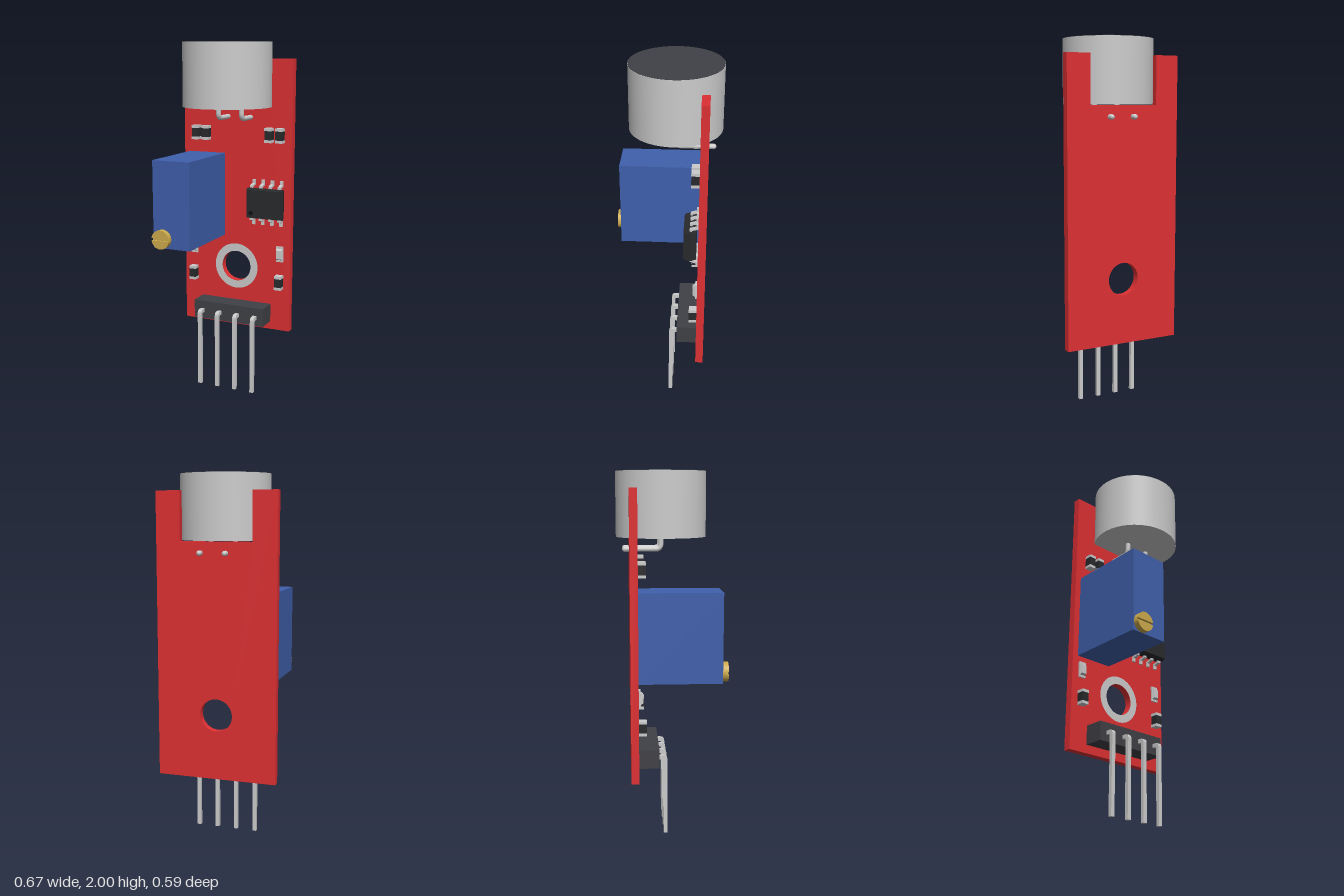
import * as THREE from 'three';

const mat = (color) => new THREE.MeshStandardMaterial({ color });
const grey = mat(0xcccccc), red = mat(0xdd3033), blue = mat(0x4060ac);
const gold = mat(0xccaa4c), dark = mat(0x404146), black = mat(0x292a2d);
const FRONT = -0.183, BACK = -0.225; // faces of the circuit board

export function createModel() {
  const root = new THREE.Group();

  function add(name, geometry, material, x = 0, y = 0, z = 0, parent = root) {
    const mesh = new THREE.Mesh(geometry, material);
    mesh.name = name;
    mesh.position.set(x, y, z);
    parent.add(mesh);
    return mesh;
  }
  // box given by its extents
  const box = (name, m, x0, x1, y0, y1, z0, z1, parent) =>
    add(name, new THREE.BoxGeometry(x1 - x0, y1 - y0, z1 - z0), m,
      (x0 + x1) / 2, (y0 + y1) / 2, (z0 + z1) / 2, parent);
  // disc or rod whose axis points along z
  const discZ = (r, h, seg = 32) => new THREE.CylinderGeometry(r, r, h, seg).rotateX(Math.PI / 2);
  const polygon = (pts) => new THREE.Shape(pts.map(([x, y]) => new THREE.Vector2(x, y)));
  // outline drawn in (z, y), extruded to a width centred on x = 0
  const sideProfile = (shape, width) =>
    new THREE.ExtrudeGeometry(shape, { depth: width, bevelEnabled: false, curveSegments: 6 })
      .translate(0, 0, -width / 2).rotateY(-Math.PI / 2);

  // board with a notch for the microphone and a mounting hole
  const board = polygon([[-0.335, 0.35], [0.335, 0.35], [0.335, 1.91], [0.2, 1.91],
    [0.2, 1.645], [-0.2, 1.645], [-0.2, 1.91], [-0.335, 1.91]]);
  board.holes.push(new THREE.Path().absarc(0, 0.71, 0.09, 0, Math.PI * 2, true));
  add('board', new THREE.ExtrudeGeometry(board,
    { depth: FRONT - BACK, bevelEnabled: false, curveSegments: 32 }), red, 0, 0, BACK);
  add('holeRing', new THREE.RingGeometry(0.09, 0.135, 48), grey, 0, 0.71, FRONT + 0.002);

  // microphone capsule with dark felt and two bent leads
  const mic = new THREE.Group();
  mic.name = 'microphone';
  root.add(mic);
  add('capsule', new THREE.CylinderGeometry(0.245, 0.245, 0.348, 64), grey, 0, 1.824, -0.05, mic);
  add('felt', new THREE.CylinderGeometry(0.244, 0.244, 0.004, 64), dark, 0, 1.998, -0.05, mic);
  for (const x of [-0.055, 0.085]) {
    const path = new THREE.CurvePath();
    const v = (y, z) => new THREE.Vector3(x, y, z);
    path.add(new THREE.LineCurve3(v(1.66, -0.052), v(1.615, -0.052)));
    path.add(new THREE.QuadraticBezierCurve3(v(1.615, -0.052), v(1.585, -0.052), v(1.585, -0.082)));
    path.add(new THREE.LineCurve3(v(1.585, -0.082), v(1.585, -0.25)));
    add('microphoneLead', new THREE.TubeGeometry(path, 32, 0.014, 12), grey, 0, 0, 0, mic);
    add('leadTip', new THREE.SphereGeometry(0.014, 12, 8), grey, x, 1.585, -0.248, mic);
  }

  // trimmer block with a slotted brass screw
  box('trimmer', blue, -0.3, -0.077, 0.89, 1.375, FRONT, 0.265);
  const screw = new THREE.Group();
  screw.name = 'trimmerScrew';
  screw.position.set(-0.242, 0.944, 0.265);
  root.add(screw);
  add('screwBase', discZ(0.053, 0.018), gold, 0, 0, 0.009, screw);
  for (const s of [1, -1]) {
    const half = new THREE.Shape();
    const a = 0.12;
    half.absarc(0, 0, 0.053, a, Math.PI - a, false);
    const g = new THREE.ExtrudeGeometry(half, { depth: 0.014, bevelEnabled: false, curveSegments: 20 });
    if (s < 0) g.rotateZ(Math.PI);
    add('screwHalf', g, gold, 0, 0, 0.018, screw);
  }

  // chip: a body tapering to front and back, gull-wing legs and a pin-one mark
  const chip = new THREE.Group();
  chip.name = 'chip';
  chip.position.set(0.195, 1.104, FRONT);
  root.add(chip);
  const body = new THREE.BoxGeometry(0.216, 0.176, 0.068, 1, 1, 2);
  const p = body.attributes.position;
  for (let i = 0; i < p.count; i++) {
    if (Math.abs(p.getZ(i)) > 0.01) p.setXY(i, p.getX(i) * 0.93, p.getY(i) * 0.91);
  }
  const chipBody = body.toNonIndexed();
  chipBody.computeVertexNormals();
  add('chipBody', chipBody, black, 0, 0, 0.044, chip);
  add('pinOneMark', discZ(0.013, 0.002, 20), mat(0x101012), -0.073, -0.052, 0.0785, chip);
  const leg = polygon([[0, 0.131], [0, 0.1], [0.034, 0.092], [0.034, 0.07],
    [0.046, 0.07], [0.046, 0.1], [0.012, 0.11], [0.012, 0.131]]);
  for (let i = 0; i < 4; i++) {
    for (const side of [0, 1]) {
      const g = sideProfile(leg, 0.018);
      if (side) g.rotateZ(Math.PI);
      add('chipLeg', g, grey, -0.084 + i * 0.056, 0, 0, chip);
    }
  }

  // surface-mount resistors with metal ends
  for (const [x, y] of [[-0.248, 1.49], [-0.185, 1.49], [0.205, 1.49], [0.27, 1.49],
    [-0.272, 0.645], [0.275, 0.645]]) {
    box('resistorBody', black, x - 0.02, x + 0.02, y - 0.026, y + 0.026, FRONT, -0.1405);
    for (const s of [-1, 1]) {
      const c = y + s * 0.033;
      box('resistorEnd', grey, x - 0.021, x + 0.021, c - 0.008, c + 0.008, FRONT, -0.14);
    }
  }

  // indicator lamps
  for (const x of [-0.272, 0.273]) {
    box('lampBase', grey, x - 0.021, x + 0.021, 0.765, 0.855, FRONT, -0.172);
    const lens = new THREE.CylinderGeometry(0.02, 0.027, 0.014, 4, 1).rotateY(Math.PI / 4)
      .rotateX(Math.PI / 2).scale(1, 1.75, 1).toNonIndexed();
    lens.computeVertexNormals();
    add('lampLens', lens, grey, x, 0.81, -0.165);
  }

  // header strip with four pins bent downwards
  box('header', dark, -0.222, 0.218, 0.397, 0.503, FRONT, -0.07);
  const pin = new THREE.Shape();
  pin.moveTo(-0.08, 0.457);
  pin.lineTo(-0.08, 0.435);
  pin.lineTo(-0.052, 0.435);
  pin.quadraticCurveTo(-0.045, 0.435, -0.045, 0.428);
  pin.lineTo(-0.045, 0);
  pin.lineTo(-0.024, 0);
  pin.lineTo(-0.024, 0.432);
  pin.quadraticCurveTo(-0.024, 0.457, -0.048, 0.457);
  for (let i = 0; i < 4; i++) {
    add('headerPin', sideProfile(pin, 0.022), grey, -0.168 + i * 0.1115, 0, 0);
  }

  return root;
}
